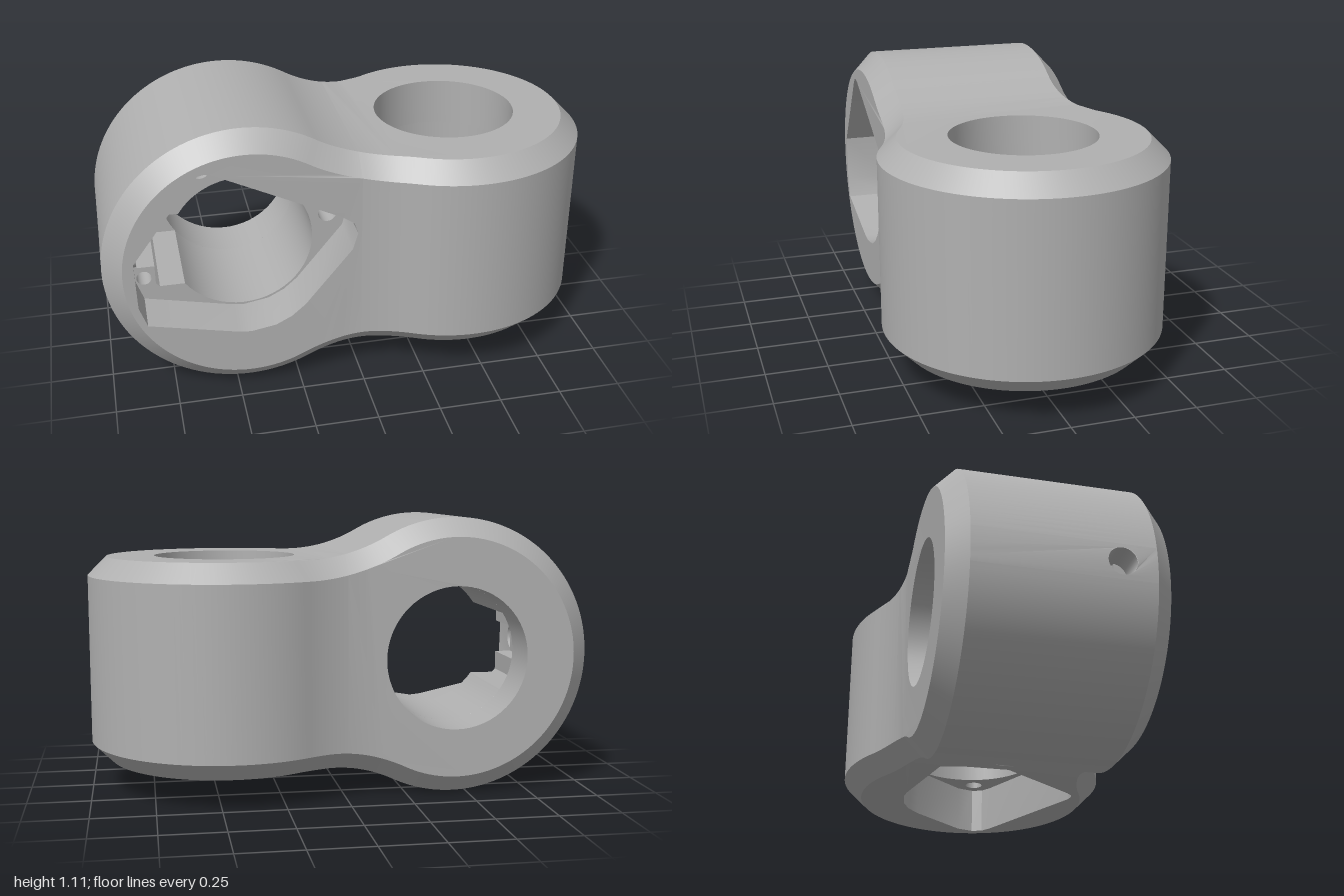
import * as THREE from 'three';
import { toCreasedNormals } from 'three/addons/utils/BufferGeometryUtils.js';

const R = 0.555, FILLET = 0.65, CHAMFER = 0.075, CX = -0.445; // lobe radius, waist fillet, lobe centre
const LOW = 0.435, HIGH = 0.395;                              // half widths of the waist
const BORE = 0.287, POCKET_Z = 0.235, SLOT_Z = -0.2;

const metal = new THREE.MeshStandardMaterial({ color: 0xb0b0b0, side: THREE.DoubleSide });
metal.name = 'grey metal';

function mesh(name, geometry) {
  const m = new THREE.Mesh(geometry, metal);
  m.name = name;
  return m;
}

// Surface between two point loops of equal length; keep(i) may leave columns out
function strip(a, b, closed = false, keep = () => true) {
  const n = a.length, index = [];
  for (let i = 0; i < (closed ? n : n - 1); i++) {
    const j = (i + 1) % n;
    if (keep(i)) index.push(i, j, n + i, j, n + j, n + i);
  }
  const g = new THREE.BufferGeometry();
  g.setAttribute('position', new THREE.Float32BufferAttribute([...a, ...b].flat(), 3));
  g.setIndex(index);
  return toCreasedNormals(g, 0.55);
}

// Filled outline with holes, its points then moved by a rule
function plate(outline, holes, place) {
  const v2 = (l) => l.map((p) => new THREE.Vector2(p[0], p[1]));
  const shape = new THREE.Shape(v2(outline));
  holes.forEach((h) => shape.holes.push(new THREE.Path(v2(h))));
  const g = new THREE.ShapeGeometry(shape), p = g.attributes.position;
  for (let i = 0; i < p.count; i++) p.setXYZ(i, ...place(p.getX(i), p.getY(i)));
  g.computeVertexNormals();
  return g;
}

const arc = (r, a0, a1, n, cx = 0, cy = 0) => Array.from({ length: n + 1 }, (_, i) => {
  const a = a0 + (a1 - a0) * i / n;
  return [cx + r * Math.cos(a), cy + r * Math.sin(a)];
});
const circle = (r, cx, cy, n = 64) => arc(r, 0, 2 * Math.PI, n, cx, cy).slice(0, n);
const atZ = (loop, z) => loop.map(([x, y]) => [x, y, typeof z === 'function' ? z(x) : z]);

// Where the waist fillet begins and how far it turns, for a waist half width h
function blend(h) {
  const d = Math.sqrt((R + FILLET) ** 2 - (h + FILLET) ** 2);
  return { x0: CX + d, turn: Math.asin(d / (R + FILLET)) };
}

// Half width at distance x past the middle, inset by c
function halfWidth(x, h, c) {
  const { x0 } = blend(h);
  return x >= x0 ? h - c : h + FILLET - Math.sqrt((FILLET + c) ** 2 - (x0 - x) ** 2);
}

// Lobe silhouette from the middle, round the end and back, inset by c
function profile(c) {
  const side = (h, sign) => {
    const { x0, turn } = blend(h), r = FILLET + c, a0 = Math.asin(x0 / r);
    return Array.from({ length: 13 }, (_, i) => {
      const a = a0 + (turn - a0) * i / 12;
      return [x0 - r * Math.sin(a), sign * (h + FILLET - r * Math.cos(a))];
    });
  };
  const a0 = -Math.PI / 2 + blend(LOW).turn;
  const a1 = -1.5 * Math.PI - blend(HIGH).turn;
  const round = arc(R - c, a0, a1, 96, CX).slice(1, -1);
  return [...side(LOW, -1), ...round, ...side(HIGH, 1).reverse()];
}

// Pocket and slot outlines, relative to the bore
const POCKET = [[-0.2, 0.385], [-0.175, 0.41], [-0.15, 0.415], [-0.12, 0.408], [0.37, 0.175], [0.415, 0.145],
  [0.43, 0.1], [0.41, 0.03], [0.22, -0.2], [0.165, -0.247], [0.1, -0.28], [0, -0.297], [-0.05, -0.292],
  [-0.4, -0.215], [-0.43, -0.13], [-0.435, 0.065]];
const SLOT = [[-0.335, 0.155], [-0.35, 0.14], [-0.35, 0.07], [-0.42, 0.07], [-0.42, -0.07], [-0.35, -0.07],
  [-0.35, -0.15], [-0.335, -0.165]];
const UP = Math.asin(0.155 / BORE), DOWN = Math.asin(0.165 / BORE);
const SLOTTED_BORE = [...arc(BORE, DOWN - Math.PI, Math.PI - UP, 48), ...SLOT];
const SLOT_FLOOR = [...SLOT, ...arc(BORE, Math.PI + DOWN, Math.PI - UP, 16)];
const SCREWS = [[-0.15, 0.335, 0.038], [0.35, 0.09, 0.038], [-0.395, -0.12, 0.03]];

// One half of the body; sign turns the pocket, sideHoles are [x, y, z, radius, depth]
function buildLobe(sign, sideHoles) {
  const lobe = new THREE.Group();
  const turn = (loop) => loop.map(([x, y]) => [CX + sign * x, sign * y]);
  const front = (c) => (x) => halfWidth(-x, LOW, c);
  const back = (c) => (x) => -halfWidth(-x, HIGH, c);
  const outer = profile(0), inner = profile(CHAMFER);
  const f = front(CHAMFER), b = back(CHAMFER);

  // Arc length along the silhouette
  const len = [0];
  for (let i = 1; i < outer.length; i++) {
    len.push(len[i - 1] + Math.hypot(outer[i][0] - outer[i - 1][0], outer[i][1] - outer[i - 1][1]));
  }
  const along = (s) => {
    let i = 0;
    while (i < len.length - 2 && len[i + 1] < s) i++;
    const t = (s - len[i]) / (len[i + 1] - len[i]);
    return [0, 1].map((k) => outer[i][k] + t * (outer[i + 1][k] - outer[i][k]));
  };

  // Drilled side holes: a bent wall patch and a tube for each
  const open = new Set();
  for (const [x, y, z, r, depth] of sideHoles) {
    const dist = outer.map((p) => Math.hypot(p[0] - x, p[1] - y));
    const mid = dist.indexOf(Math.min(...dist)), s0 = len[mid];
    let i0 = mid, i1 = mid;
    while (len[i0] > s0 - r - 0.01) i0--;
    while (len[i1] < s0 + r + 0.01) i1++;
    const lower = [], upper = [];
    for (let i = i0; i <= i1; i++) {
      if (i < i1) open.add(i);
      lower.push([len[i], b(outer[i][0])]);
      upper.unshift([len[i], f(outer[i][0])]);
    }
    lobe.add(mesh('drilledWall', plate([...lower, ...upper], [circle(r, s0, z, 32)], (s, w) => [...along(s), w])));
    const p = new THREE.Vector3(...outer[mid], z);
    const dir = new THREE.Vector3(CX - p.x, -p.y, 0).normalize();
    const tube = mesh('sideHole', new THREE.CylinderGeometry(r, r, depth, 32, 1, true));
    tube.quaternion.setFromUnitVectors(new THREE.Vector3(0, 1, 0), dir);
    tube.position.copy(p).addScaledVector(dir, depth / 2 + 0.003);
    lobe.add(tube);
  }

  // Outer wall, chamfers and end faces
  lobe.add(mesh('outerWall', strip(atZ(outer, f), atZ(outer, b), false, (i) => !open.has(i))));
  lobe.add(mesh('frontChamfer', strip(atZ(outer, f), atZ(inner, front(0)))));
  lobe.add(mesh('backChamfer', strip(atZ(outer, b), atZ(inner, back(0)))));
  const bore = circle(BORE, CX, 0), pocket = turn(POCKET), slotted = turn(SLOTTED_BORE);
  const level = (z) => (x, y) => [x, y, typeof z === 'function' ? z(x) : z];
  lobe.add(mesh('pocketFace', plate(inner, [pocket], level(front(0)))));
  lobe.add(mesh('boreFace', plate(inner, [bore], level(back(0)))));

  // Pocket, cable slot and bore
  const screws = SCREWS.map(([x, y, r]) => circle(r, CX + sign * x, sign * y, 20));
  lobe.add(mesh('pocketWall', strip(atZ(pocket, front(0)), atZ(pocket, POCKET_Z), true)));
  lobe.add(mesh('pocketFloor', plate(pocket, [slotted, ...screws], level(POCKET_Z))));
  lobe.add(mesh('slotWall', strip(atZ(slotted, POCKET_Z), atZ(slotted, SLOT_Z), true)));
  lobe.add(mesh('slotFloor', plate(turn(SLOT_FLOOR), [], level(SLOT_Z))));
  lobe.add(mesh('boreWall', strip(atZ(bore, SLOT_Z), atZ(bore, back(0)), true)));
  for (const hole of screws) {
    lobe.add(mesh('screwHole', strip(atZ(hole, POCKET_Z), atZ(hole, POCKET_Z - 0.15), true)));
    lobe.add(mesh('screwHoleEnd', plate(hole, [], level(POCKET_Z - 0.15))));
  }
  return lobe;
}

export function createModel() {
  const model = new THREE.Group();
  model.name = 'crossedBoreCoupling';

  const uprightLobe = buildLobe(1, [[-1, 0, 0.23, 0.055, 0.13], [-0.165, -0.475, 0, 0.055, 0.27]]);
  uprightLobe.name = 'uprightLobe';

  // The other half is the same body turned about a diagonal
  const flatLobe = buildLobe(-1, []);
  flatLobe.name = 'flatLobe';
  flatLobe.quaternion.setFromAxisAngle(new THREE.Vector3(0, 1, -1).normalize(), Math.PI);

  for (const lobe of [uprightLobe, flatLobe]) {
    lobe.position.y = R;
    model.add(lobe);
  }
  return model;
}
